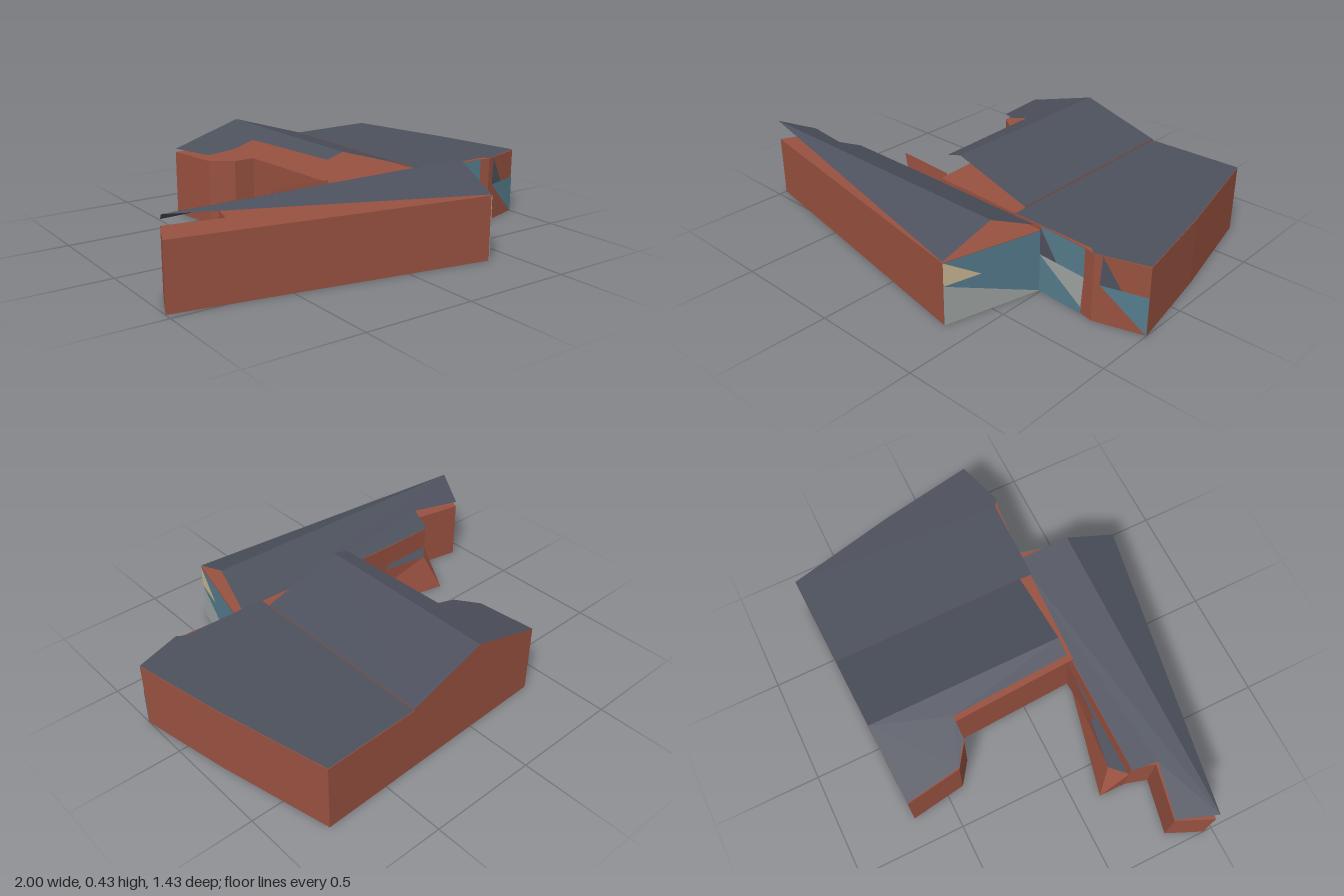
import * as THREE from 'three';

const mat = (name, color, side = THREE.FrontSide) => {
  const m = new THREE.MeshStandardMaterial({ color, side });
  m.name = name;
  return m;
};

export function createModel() {
  const group = new THREE.Group();
  const brick = mat('brick', 0x985140);
  const brickSheet = mat('brickSheet', 0x985140, THREE.DoubleSide);
  const slate = mat('slate', 0x4d515d, THREE.DoubleSide);
  const teal = mat('tealGlass', 0x557c8c, THREE.DoubleSide);
  const grey = mat('greyGlass', 0x9ea5a2, THREE.DoubleSide);
  const beige = mat('beigePanel', 0xc8b793, THREE.DoubleSide);

  const add = (name, geometry, material) => {
    const mesh = new THREE.Mesh(geometry, material);
    mesh.name = name;
    group.add(mesh);
  };

  // Upright block from a ground outline of [x, z] points
  const block = (name, outline, height) => {
    const shape = new THREE.Shape(outline.map(([x, z]) => new THREE.Vector2(x, -z)));
    const g = new THREE.ExtrudeGeometry(shape, { depth: height, bevelEnabled: false });
    add(name, g.rotateX(-Math.PI / 2), brick);
  };

  // Flat sheet draped over an [x, z] outline, with its height given by a rule
  const sheet = (name, outline, heightAt, material = slate) => {
    const shape = new THREE.Shape(outline.map(([x, z]) => new THREE.Vector2(x, -z)));
    const g = new THREE.ShapeGeometry(shape).rotateX(-Math.PI / 2);
    const p = g.attributes.position;
    for (let i = 0; i < p.count; i++) p.setY(i, heightAt(p.getX(i), p.getZ(i)));
    g.computeVertexNormals();
    add(name, g, material);
  };

  // Convex polygon from [x, y, z] corners
  const face = (name, corners, material) => {
    const pos = [];
    for (let i = 1; i < corners.length - 1; i++) pos.push(...corners[0], ...corners[i], ...corners[i + 1]);
    const g = new THREE.BufferGeometry();
    g.setAttribute('position', new THREE.Float32BufferAttribute(pos, 3));
    g.computeVertexNormals();
    add(name, g, material);
  };

  // Main block
  block('mainWalls', [
    [-0.37, -0.68], [0.80, -0.72], [0.92, -0.2], [1, 0.23], [0.78, 0.295], [0.73, 0.285],
    [0.49, 0.27], [-0.10, 0.25], [-0.13, -0.35], [-0.23, -0.35], [-0.33, -0.42],
  ], 0.308);

  // Front wing
  block('frontWingWalls', [
    [-1, 0.46], [0.38, 0.71], [0.49, 0.27], [0.4, 0.24], [-0.1, 0.245],
    [-0.65, 0.245], [-0.68, 0.35], [-0.93, 0.30],
  ], 0.285);

  // Main roof: level on one side, ridged along z on the other
  const ridgeX = -0.02;
  const pitch = (x) => 0.43 - 0.303 * Math.abs(x - ridgeX);
  sheet('flatRoof', [[0.355, -0.705], [0.80, -0.72], [0.92, -0.2], [1, 0.23], [0.78, 0.3], [0.75, 0.275], [0.355, 0.27]],
    () => 0.312);
  sheet('mainRoofEastSlope', [[ridgeX, -0.692], [0.355, -0.705], [0.355, 0.21], [ridgeX, 0.21]], pitch);
  sheet('mainRoofWestSlope', [[ridgeX, -0.692], [ridgeX, 0.21], [-0.10, 0.21], [-0.13, -0.35],
    [-0.23, -0.35], [-0.33, -0.42], [-0.37, -0.68]], pitch);
  face('roofStep', [[0.355, 0.305, 0.21], [0.355, 0.305, -0.705], [0.355, 0.318, -0.705], [0.355, 0.318, 0.21]], brickSheet);
  face('backGable', [[0.355, 0.305, -0.705], [-0.37, 0.305, -0.68], [-0.37, 0.324, -0.68],
    [ridgeX, 0.43, -0.692], [0.355, 0.317, -0.705]], brick);

  // Front wing roof: ridged along x, open at the ends
  sheet('wingRoofBackSlope', [[-1, 0.46], [0.415, 0.48], [0.46, 0.25], [-0.66, 0.245], [-0.68, 0.35], [-0.93, 0.30]],
    (x, z) => 0.39 - 0.44 * (0.48 - z));
  face('wingRoofFrontSlope', [[-1, 0.381, 0.46], [0.38, 0.29, 0.71], [0.415, 0.39, 0.48]], slate);

  // Courtyard: free wall, leaning low wall and its ledge
  face('courtyardWall', [[-0.1, 0, 0.235], [-0.1, 0.318, 0.215], [-0.39, 0.32, 0.2], [-0.35, 0.18, 0.21]], brickSheet);
  face('leaningWall', [[-0.1, 0, 0.25], [-0.65, 0, 0.12], [-0.58, 0.18, 0.18], [-0.35, 0.19, 0.21], [-0.1, 0.18, 0.235]], brickSheet);
  face('leaningWallEnd', [[-0.65, 0, 0.12], [-0.65, 0, 0.25], [-0.65, 0.18, 0.25], [-0.58, 0.18, 0.18]], brickSheet);
  face('courtyardLedge', [[-0.58, 0.18, 0.18], [-0.65, 0.18, 0.25], [-0.1, 0.18, 0.25], [-0.35, 0.19, 0.21]], slate);

  // Panels laid just outside a wall from a to b; corners are [share along wall, height]
  const panels = (name, a, b, list) => {
    const d = new THREE.Vector2(b[0] - a[0], b[1] - a[1]);
    const n = new THREE.Vector2(-d.y, d.x).normalize().multiplyScalar(0.003);
    list.forEach(([material, corners], i) => face(name + (i + 1),
      corners.map(([u, y]) => [a[0] + d.x * u + n.x, y, a[1] + d.y * u + n.y]), material));
  };

  // Glazed end of the front wing
  panels('wingEndPanel', [0.38, 0.71], [0.49, 0.27], [
    [grey, [[0, 0], [1, 0], [0, 0.18]]],
    [teal, [[1, 0], [1, 0.18], [0, 0.18]]],
    [beige, [[0, 0.18], [0.38, 0.18], [0, 0.285]]],
    [teal, [[0.38, 0.18], [1, 0.18], [1, 0.285], [0, 0.285]]],
  ]);
  // Entrance wall
  panels('entrancePanel', [0.49, 0.27], [0.73, 0.285], [
    [teal, [[0, 0], [0.96, 0], [0.96, 0.04], [0, 0.175]]],
    [grey, [[0.96, 0.03], [1, 0.175], [0, 0.175]]],
    [slate, [[0, 0.175], [0.4, 0.175], [0, 0.3]]],
    [teal, [[0.4, 0.175], [1, 0.175], [1, 0.307], [0, 0.307]]],
  ]);
  // Slanted corner wall
  panels('cornerPanel', [0.78, 0.295], [1, 0.23], [
    [teal, [[0.13, 0.175], [1, 0], [1, 0.175]]],
    [slate, [[0.13, 0.175], [0.52, 0.175], [0.16, 0.307]]],
  ]);

  return group;
}
